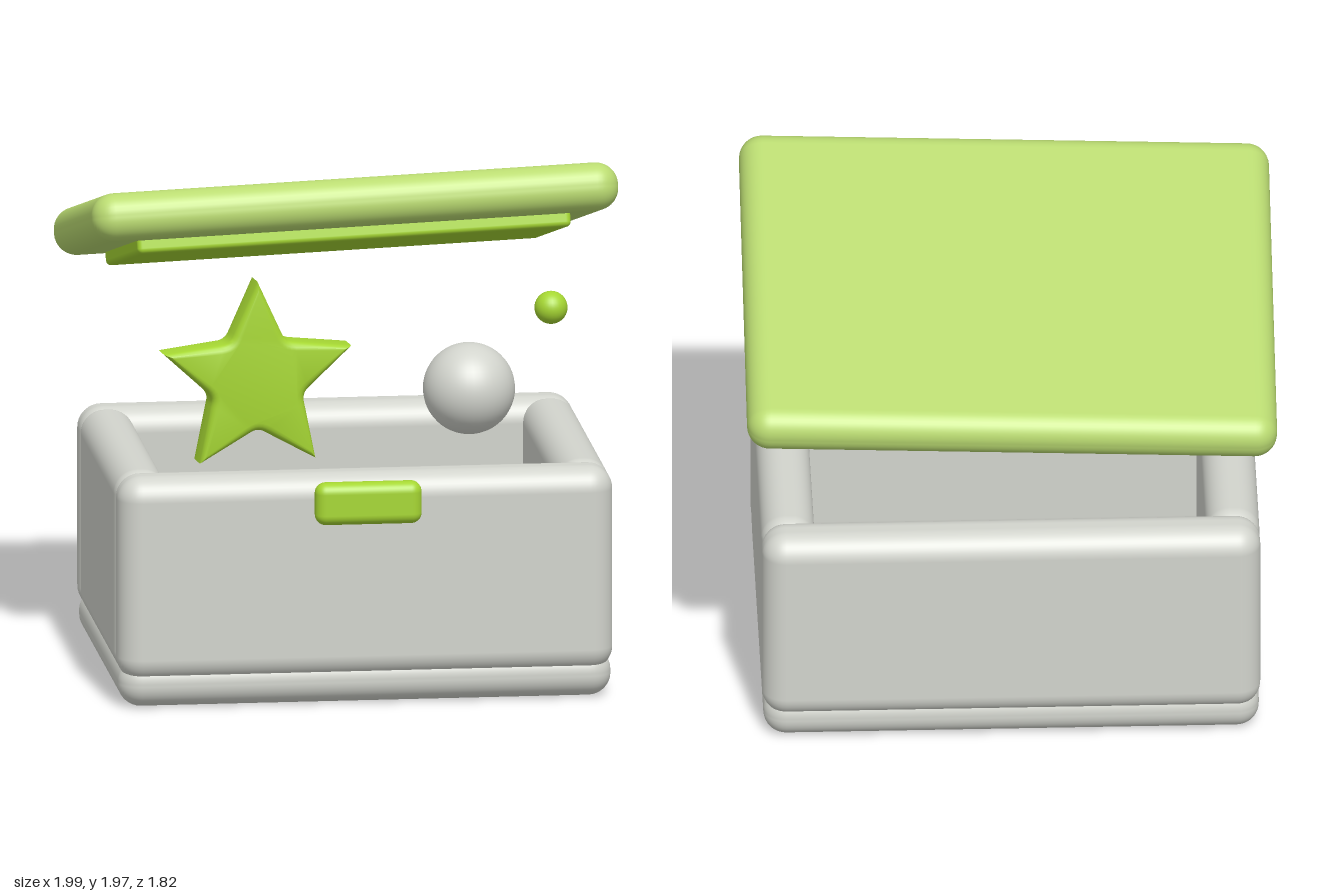
import * as THREE from 'three';
import { toCreasedNormals } from 'three/addons/utils/BufferGeometryUtils.js';
import { RoundedBoxGeometry } from 'three/addons/geometries/RoundedBoxGeometry.js';

const flat = (name, color) => {
  const m = new THREE.MeshStandardMaterial({ color });
  m.name = name;
  return m;
};

export function createModel() {
  const grey = flat('boxGrey', 0xd2d4cd);
  const lime = flat('paleLime', 0xbbdc72);
  const green = flat('brightGreen', 0xa6d733);

  const model = new THREE.Group();
  model.name = 'openToyBox';

  const add = (parent, name, geometry, material, x, y, z) => {
    const mesh = new THREE.Mesh(geometry, material);
    mesh.name = name;
    mesh.position.set(x, y, z);
    parent.add(mesh);
    return mesh;
  };
  const rounded = (w, h, d, r) => new RoundedBoxGeometry(w, h, d, 5, r);

  // Box: soft base and four overlapping walls
  const box = new THREE.Group();
  box.name = 'box';
  model.add(box);
  const cz = 0.115;
  add(box, 'base', rounded(1.85, 0.18, 1.41, 0.085), grey, 0, 0.09, cz);
  for (const s of [1, -1]) {
    add(box, s > 0 ? 'frontWall' : 'backWall',
      rounded(1.86, 0.78, 0.21, 0.09), grey, 0, 0.49, cz + s * 0.62);
    add(box, s > 0 ? 'leftWall' : 'rightWall',
      rounded(0.2, 0.78, 1.22, 0.09), grey, s * 0.83, 0.49, cz);
  }
  add(box, 'latch', rounded(0.4, 0.16, 0.09, 0.04), green, 0, 0.78, 0.865);

  // Floating lid, raised at the front and rolled slightly
  const lid = new THREE.Group();
  lid.name = 'lid';
  lid.position.set(0, 1.68, -0.165);
  lid.rotation.set(-0.25, 0, 0.04, 'ZXY');
  model.add(lid);
  add(lid, 'lidPanel', rounded(1.98, 0.18, 1.53, 0.085), lime, 0, 0, 0);
  add(lid, 'lidLip', rounded(1.63, 0.1, 1.17, 0.02), green, 0, -0.09, 0.005);

  // Star with pointed arms and softened notches
  const polar = (r, a) => [r * Math.cos(a), r * Math.sin(a)];
  const mix = (p, q, t) => [p[0] + (q[0] - p[0]) * t, p[1] + (q[1] - p[1]) * t];
  const outline = new THREE.Shape();
  for (let i = 0; i < 5; i++) {
    const a = Math.PI / 2 + (i * 2 * Math.PI) / 5;
    const tip = polar(0.335, a);
    const notch = polar(0.142, a + Math.PI / 5);
    const next = polar(0.335, a + (2 * Math.PI) / 5);
    if (i === 0) outline.moveTo(...tip);
    else outline.lineTo(...tip);
    outline.lineTo(...mix(tip, notch, 0.75));
    outline.quadraticCurveTo(...notch, ...mix(notch, next, 0.25));
  }
  outline.closePath();
  const starGeometry = new THREE.ExtrudeGeometry(outline, {
    depth: 0.075, bevelEnabled: true, bevelSize: 0.03,
    bevelThickness: 0.03, bevelSegments: 4, curveSegments: 6,
  });
  starGeometry.translate(0, 0, -0.0375);
  const star = add(model, 'star', toCreasedNormals(starGeometry, 0.7), green, -0.355, 1.134, 0.265);
  star.rotation.y = 0.12;

  // Floating balls
  add(model, 'largeBall', new THREE.SphereGeometry(0.172, 40, 28), grey, 0.435, 1.103, 0.385);
  add(model, 'smallBall', new THREE.SphereGeometry(0.062, 28, 20), green, 0.75, 1.39, 0.325);

  return model;
}
